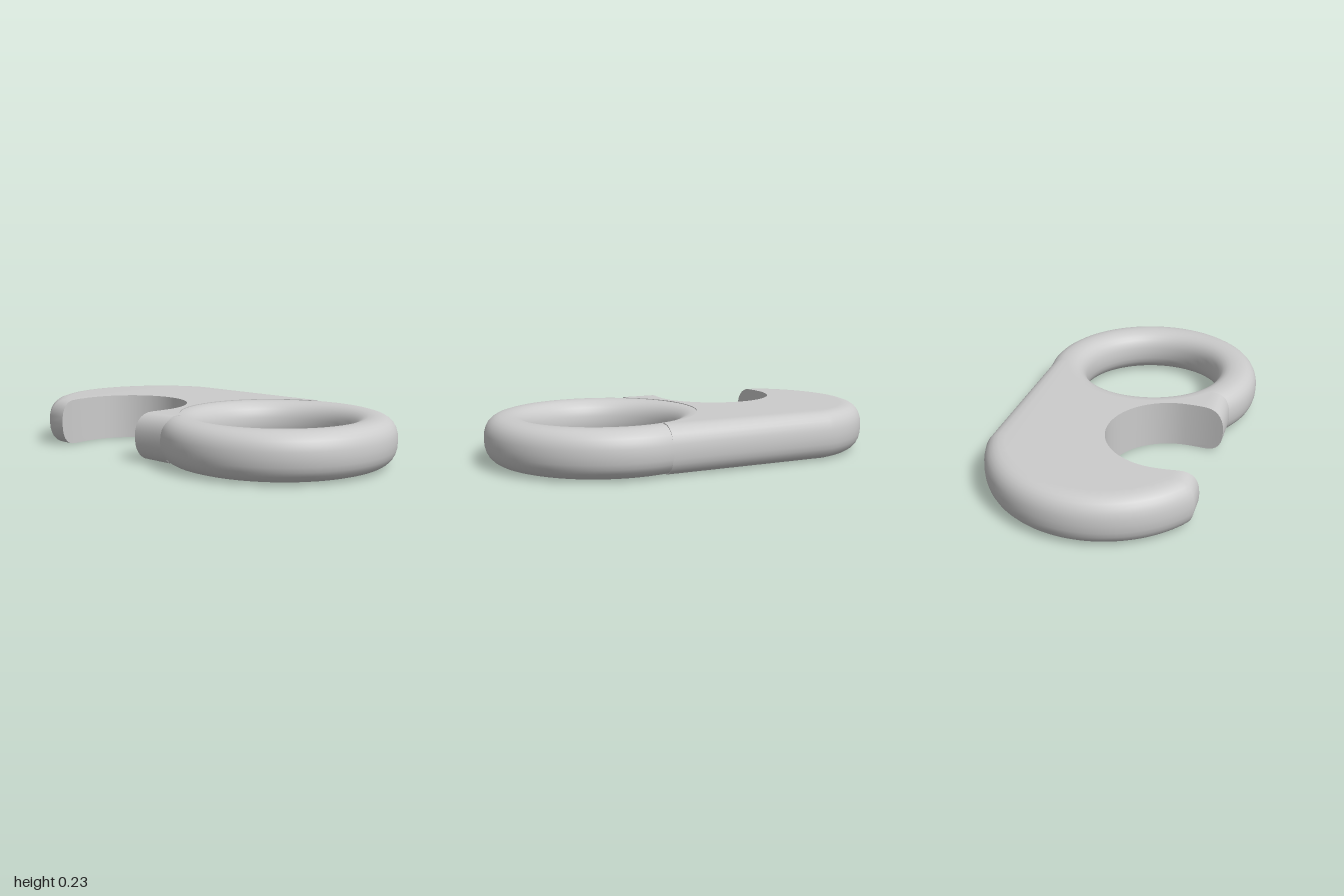
import * as THREE from 'three';
import { toCreasedNormals } from 'three/addons/utils/BufferGeometryUtils.js';

const RING = { x: 0.425, r: 0.4675, tube: 0.1075 };   // eye ring
const BODY = { x: -0.425, r: 0.575 };                 // round outer end of the hook
const HOOK = { x: -0.335, z: 0.29, r: 0.311 };        // open cut-out
const HEIGHT = 0.235;

// rounded-square cross-section: point on a superellipse
const power = (v) => Math.sign(v) * Math.pow(Math.abs(v), 2 / 2.4);

// outline of the plate in x,z, counter-clockwise from above;
// the outer edge moves in by d, the hook cut and the seam under the ring stay put
function outline(d) {
  const pts = [];
  const arc = (cx, cz, r, a, b, n) => {
    for (let i = 0; i <= n; i++) {
      const t = a + (b - a) * i / n;
      pts.push([cx + r * Math.cos(t), cz + r * Math.sin(t)]);
    }
  };
  const back = 0.56 - d, front = 0.49 - d, r = BODY.r - d;
  // lip beside the ring, then the seam along the ring's centre line
  pts.push([0.14, front]);
  arc(RING.x, 0, RING.r, Math.PI - 0.93, Math.PI + 1.3, 36);
  // straight back edge
  pts.push([0.3, -back]);
  // round end down to the hook tip
  arc(BODY.x, 0, r, -Math.PI + Math.asin(back / r), -Math.PI - Math.asin(front / r), 48);
  // hook cut: tip, round arc, opposite lip
  const side = (s, u) => {
    const z = HOOK.z + (front - HOOK.z) * u;
    const narrow = 0.027 * ((z - HOOK.z) / 0.2) ** 2;
    pts.push([HOOK.x + s * (HOOK.r - narrow), z]);
  };
  for (let i = 5; i > 0; i--) side(-1, i / 5);
  arc(HOOK.x, HOOK.z, HOOK.r, Math.PI, Math.PI * 2, 40);
  for (let i = 1; i <= 5; i++) side(1, i / 5);
  return pts;
}

// stacks the outlines into a solid with a rounded outer edge
function plateGeometry() {
  const layers = 14, pos = [], index = [];
  let n = 0, cap;
  for (let k = 0; k <= layers; k++) {
    const t = -Math.PI / 2 + Math.PI * k / layers;
    const pts = outline(0.1 * (1 - power(Math.max(0, Math.cos(t)))));
    const y = HEIGHT / 2 * (1 + power(Math.sin(t)));
    n = pts.length;
    for (const [x, z] of pts) pos.push(x, y, z);
    cap = pts;
  }
  for (let k = 0; k < layers; k++) {
    for (let i = 0; i < n; i++) {
      const a = k * n + i, b = k * n + (i + 1) % n;
      index.push(a, b, b + n, a, b + n, a + n);
    }
  }
  const faces = THREE.ShapeUtils.triangulateShape(cap.map(([x, z]) => new THREE.Vector2(x, -z)), []);
  const top = layers * n;
  for (const [a, b, c] of faces) index.push(top + a, top + b, top + c, c, b, a);
  const g = new THREE.BufferGeometry();
  g.setAttribute('position', new THREE.Float32BufferAttribute(pos, 3));
  g.setIndex(index);
  return toCreasedNormals(g, 0.6);
}

// thick ring, cut back where it would reach into the hook opening
function ringGeometry() {
  const profile = [];
  for (let i = 0; i <= 28; i++) {
    const t = Math.PI * 2 * i / 28;
    profile.push(new THREE.Vector2(
      RING.r + RING.tube * power(Math.cos(t)),
      HEIGHT / 2 + 0.114 * power(Math.sin(t))));
  }
  const g = new THREE.LatheGeometry(profile, 120);
  g.translate(RING.x, 0, 0);
  const p = g.attributes.position;
  for (let i = 0; i < p.count; i++) {
    const dx = p.getX(i) - HOOK.x, dz = p.getZ(i) - HOOK.z;
    const dist = Math.hypot(dx, dz), limit = HOOK.r + 0.003;
    if (dist < limit) {
      p.setX(i, HOOK.x + dx * limit / dist);
      p.setZ(i, HOOK.z + dz * limit / dist);
    }
  }
  return toCreasedNormals(g, 0.6);
}

export function createModel() {
  const model = new THREE.Group();
  model.name = 'hookWithEye';
  const material = new THREE.MeshStandardMaterial({ color: 0xcccccc });
  const add = (name, geometry) => {
    const mesh = new THREE.Mesh(geometry, material);
    mesh.name = name;
    model.add(mesh);
  };
  add('hookPlate', plateGeometry());
  add('eyeRing', ringGeometry());
  return model;
}
